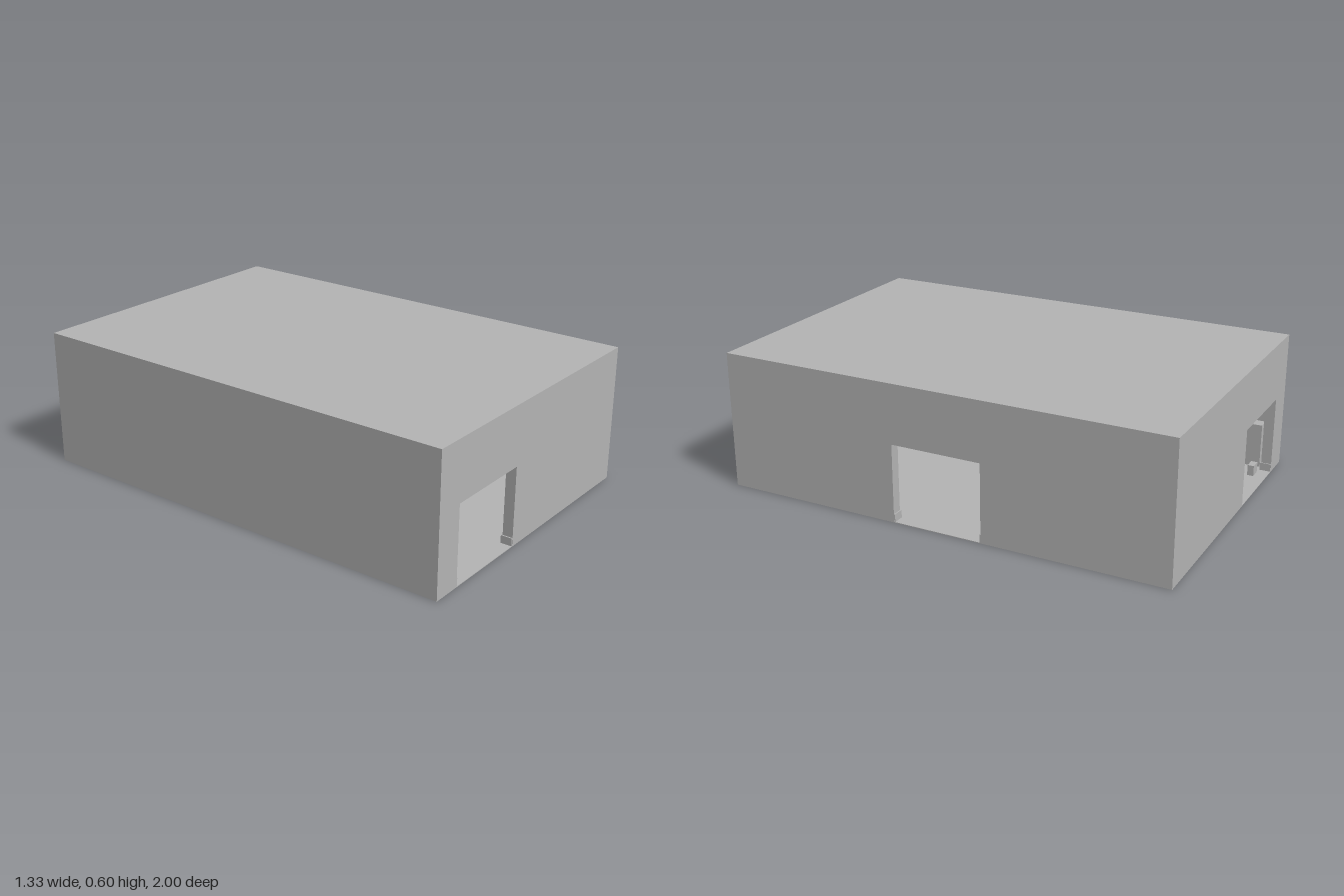
import * as THREE from 'three';

export function createModel() {
  const model = new THREE.Group();
  const grey = new THREE.MeshStandardMaterial({ color: 0xb4b4b4 });
  grey.name = 'plain grey';

  const X = 0.665, Z = 1, H = 0.6, T = 0.045, F = 0.003, DOOR = 0.342;

  // Box given by its lower and upper corners
  function box(name, x0, x1, y0, y1, z0, z1, parent = model) {
    const mesh = new THREE.Mesh(new THREE.BoxGeometry(x1 - x0, y1 - y0, z1 - z0), grey);
    mesh.position.set((x0 + x1) / 2, (y0 + y1) / 2, (z0 + z1) / 2);
    mesh.name = name;
    parent.add(mesh);
    return mesh;
  }

  // Wall with a doorway notched out of its lower edge
  function doorWall(name, half, a, b) {
    const s = new THREE.Shape();
    [[-half, F], [a, F], [a, DOOR], [b, DOOR], [b, F], [half, F], [half, H - T], [-half, H - T]]
      .forEach(([x, y], i) => (i ? s.lineTo(x, y) : s.moveTo(x, y)));
    s.closePath();
    const mesh = new THREE.Mesh(new THREE.ExtrudeGeometry(s, { depth: T, bevelEnabled: false }), grey);
    mesh.name = name;
    model.add(mesh);
    return mesh;
  }

  // Shell
  const A = -0.535, B = -0.137, D = 0.2;
  box('floor', -X, X, 0, F, -Z, Z);
  box('roof', -X, X, H - T, H, -Z, Z);
  doorWall('frontWall', X, A, B).position.z = Z - T;
  doorWall('backWall', X, A, B).position.z = -Z;
  const side = doorWall('leftWall', Z - T, -D, D);
  side.rotation.y = Math.PI / 2;
  side.position.x = X - T;
  box('rightWall', -X, -X + T, F, H - T, -Z + T, Z - T);

  // Skirting along the inside faces, returning through the doorways
  const S = 0.005, SH = 0.037, xi = X - T, zi = Z - T;
  for (const s of [-1, 1]) {
    const z0 = s > 0 ? zi - S : -zi, z1 = z0 + S;
    box('skirting', -xi, A + S, F, SH, z0, z1);
    box('skirting', B - S, xi, F, SH, z0, z1);
    const j0 = s > 0 ? zi : -Z + 0.001, j1 = s > 0 ? Z - 0.001 : -zi;
    box('doorwaySkirting', A, A + S, F, SH, j0, j1);
    box('doorwaySkirting', B - S, B, F, SH, j0, j1);
    box('skirting', xi - S, xi, F, SH, s > 0 ? D - S : -zi + S, s > 0 ? zi - S : -D + S);
    const d0 = s > 0 ? D - S : -D;
    box('doorwaySkirting', xi, X - 0.001, F, SH, d0, d0 + S);
  }
  box('skirting', -xi, -xi + S, F, SH, -zi + S, zi - S);

  // Desk against the right wall
  const desk = new THREE.Group();
  desk.name = 'desk';
  model.add(desk);
  box('deskTop', -0.615, -0.455, 0.12, 0.131, 0.4, 0.705, desk);
  for (const x of [-0.61, -0.468])
    for (const z of [0.41, 0.69]) box('deskLeg', x, x + 0.01, F, 0.12, z, z + 0.01, desk);

  // Tipped chair under the desk
  const chair = new THREE.Group();
  chair.name = 'tippedChair';
  model.add(chair);
  box('chairBack', -0.53, -0.47, 0.012, 0.02, 0.5, 0.57, chair);
  const seat = box('chairSeat', -0.04, 0.04, -0.004, 0.004, -0.035, 0.035, chair);
  seat.position.set(-0.5, 0.037, 0.535);
  seat.rotation.z = -0.8;

  // Cabinet and crate beside the back doorway
  box('cabinet', -0.615, -0.56, F, 0.2, -0.94, -0.83);
  box('crate', -0.5, -0.45, F, 0.05, -0.948, -0.92);

  // Pair of turned cabinets facing the side doorway
  for (const z of [0.083, -0.04]) {
    const c = box('turnedCabinet', -0.0415, 0.0415, F, 0.2, -0.05, 0.05);
    c.position.x = 0;
    c.position.z = z;
    c.rotation.y = 0.44;
  }

  return model;
}
